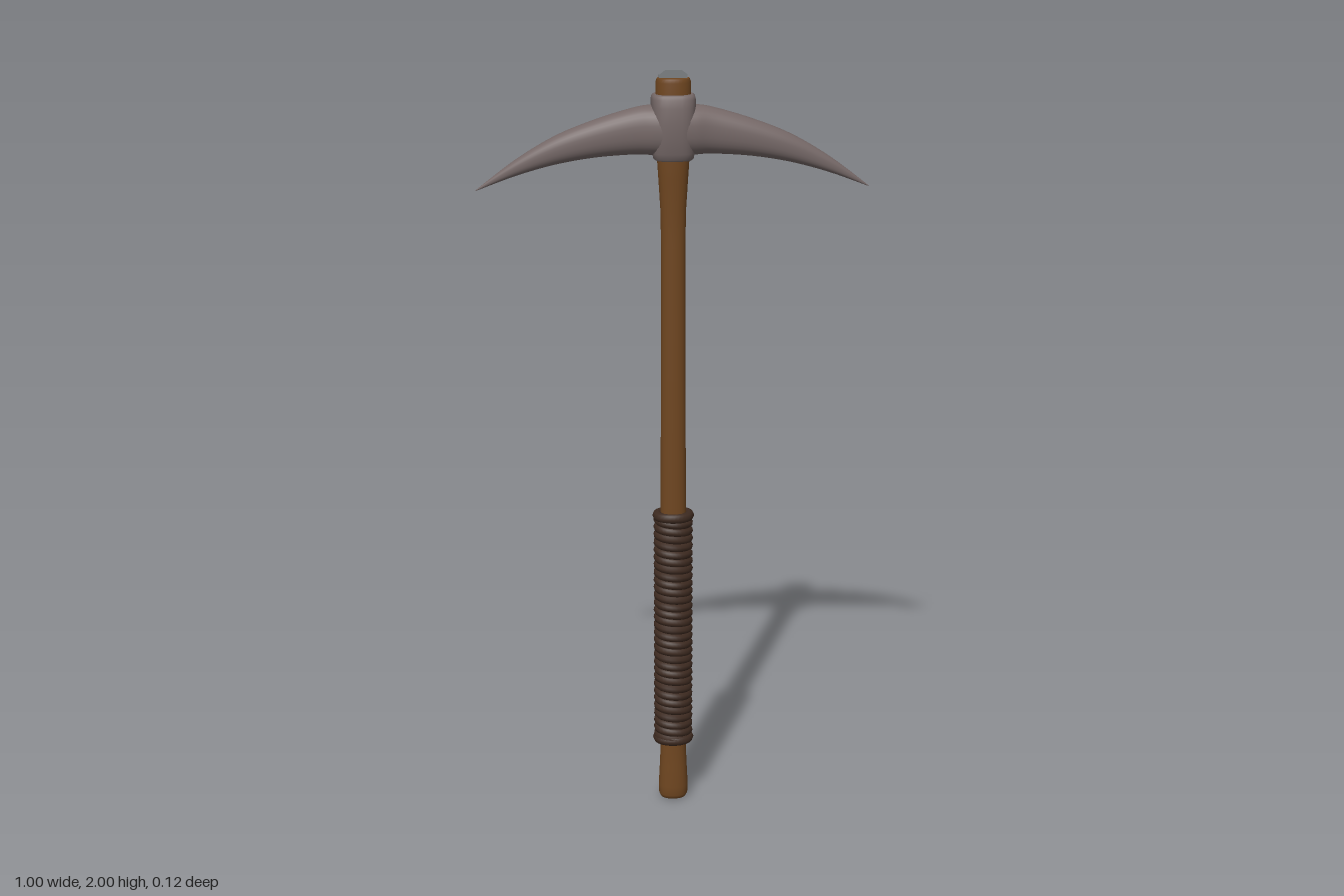
import * as THREE from 'three';

// Solid built from elliptical sections [y, rx, rz, cx] stacked along y; power squares the outline
function loft(sections, power = 1, sides = 32) {
  const pos = [], idx = [];
  const bend = (v) => Math.sign(v) * Math.abs(v) ** power;
  const ring = ([y, rx, rz, cx = 0]) => {
    for (let j = 0; j < sides; j++) {
      const t = (j / sides) * Math.PI * 2;
      pos.push(cx + rx * bend(Math.cos(t)), y, rz * bend(Math.sin(t)));
    }
  };
  sections.forEach(ring);
  for (let i = 0; i < sections.length - 1; i++) {
    for (let j = 0; j < sides; j++) {
      const k = (j + 1) % sides;
      const a = i * sides + j, b = i * sides + k;
      idx.push(a, a + sides, b, b, a + sides, b + sides);
    }
  }
  // Caps have their own vertices so their rims stay sharp
  [sections[0], sections[sections.length - 1]].forEach((s, end) => {
    const first = pos.length / 3;
    ring(s);
    pos.push(s[3] ?? 0, s[0], 0);
    for (let j = 0; j < sides; j++) {
      const a = first + j, b = first + ((j + 1) % sides), c = first + sides;
      idx.push(...(end ? [c, b, a] : [c, a, b]));
    }
  });
  const geo = new THREE.BufferGeometry();
  geo.setAttribute('position', new THREE.Float32BufferAttribute(pos, 3));
  geo.setIndex(idx);
  geo.computeVertexNormals();
  return geo;
}

// Coil of cord winding up an oval handle
class Coil extends THREE.Curve {
  constructor(y0, y1, turns, rx, rz) {
    super();
    Object.assign(this, { y0, y1, turns, rx, rz });
  }
  getPoint(t, target = new THREE.Vector3()) {
    const a = t * this.turns * Math.PI * 2;
    return target.set(this.rx * Math.cos(a), this.y0 + (this.y1 - this.y0) * t, this.rz * Math.sin(a));
  }
}

export function createModel() {
  const model = new THREE.Group();
  const wood = new THREE.MeshStandardMaterial({ color: 0x6f4620 });
  const iron = new THREE.MeshStandardMaterial({ color: 0x756867 });
  const cord = new THREE.MeshStandardMaterial({ color: 0x3d2a20 });
  const steel = new THREE.MeshStandardMaterial({ color: 0x7b7f82 });
  wood.name = 'wood';
  iron.name = 'iron';
  cord.name = 'cord';
  steel.name = 'steel';

  const add = (name, geo, mat, parent = model) => {
    const mesh = new THREE.Mesh(geo, mat);
    mesh.name = name;
    parent.add(mesh);
    return mesh;
  };

  // Oval handle, flared at the butt and where it meets the head
  add('handle', loft([
    [0, 0.026, 0.02], [0.004, 0.034, 0.028], [0.014, 0.039, 0.032], [0.04, 0.04, 0.034],
    [0.1, 0.037, 0.031], [0.17, 0.034, 0.029], [0.5, 0.034, 0.028], [0.85, 0.034, 0.027],
    [1.2, 0.032, 0.025], [1.55, 0.031, 0.026], [1.65, 0.033, 0.028], [1.73, 0.038, 0.034],
    [1.79, 0.042, 0.037], [1.92, 0.045, 0.038], [1.97, 0.045, 0.038], [1.98, 0.041, 0.034],
  ], 0.9), wood);

  // Cord grip: core, coil and a thicker ring at each end
  const grip = new THREE.Group();
  grip.name = 'grip';
  model.add(grip);
  add('gripCore', loft([[0.175, 0.043, 0.036], [0.83, 0.043, 0.036]]), cord, grip);
  add('gripCoil', new THREE.TubeGeometry(new Coil(0.18, 0.825, 30, 0.041, 0.034), 30 * 28, 0.012, 8), cord, grip);
  for (const y of [0.181, 0.825]) {
    const ring = add('gripEnd', new THREE.TorusGeometry(0.042, 0.0135, 8, 32).rotateX(Math.PI / 2), cord, grip);
    ring.scale.z = 0.86;
    ring.position.y = y;
  }

  // Curved double-pointed head, lofted from tip to tip
  const head = new THREE.Group();
  head.name = 'head';
  model.add(head);
  const stations = [ // x, top, bottom, half depth
    [0, 1.915, 1.785, 0.058], [0.05, 1.914, 1.788, 0.053], [0.1, 1.907, 1.79, 0.044],
    [0.2, 1.877, 1.783, 0.038], [0.3, 1.837, 1.766, 0.03], [0.4, 1.778, 1.738, 0.018],
    [0.5, 1.703, 1.701, 0.001],
  ];
  const full = [...stations.slice(1).reverse().map(([x, ...r]) => [-x, ...r]), ...stations];
  const spline = (k) => new THREE.SplineCurve(full.map((s) => new THREE.Vector2(s[0], s[k])));
  const [top, bottom, depth] = [1, 2, 3].map(spline);
  const sections = [];
  for (let i = 0; i <= 72; i++) {
    const t = i / 72, a = top.getPoint(t), b = bottom.getPoint(t);
    sections.push([a.x, (a.y - b.y) / 2, Math.max(depth.getPoint(t).y, 0.001), -(a.y + b.y) / 2]);
  }
  add('blades', loft(sections, 0.85).rotateZ(-Math.PI / 2), iron, head);

  // Socket that wraps the handle
  add('socket', loft([
    [1.776, 0.046, 0.042], [1.78, 0.051, 0.047], [1.795, 0.054, 0.052], [1.83, 0.055, 0.058],
    [1.87, 0.055, 0.06], [1.91, 0.056, 0.058], [1.93, 0.056, 0.053], [1.938, 0.054, 0.05],
    [1.941, 0.049, 0.045],
  ], 0.65), iron, head);

  // Thin wedge driven into the handle top
  const w = new THREE.Shape([[-0.036, 1.95], [0.036, 1.95], [0.036, 1.988], [0.02, 2], [-0.02, 2], [-0.036, 1.988]]
    .map(([x, y]) => new THREE.Vector2(x, y)));
  add('wedge', new THREE.ExtrudeGeometry(w, { depth: 0.008, bevelEnabled: false }).translate(0, 0, -0.004), steel);

  return model;
}
